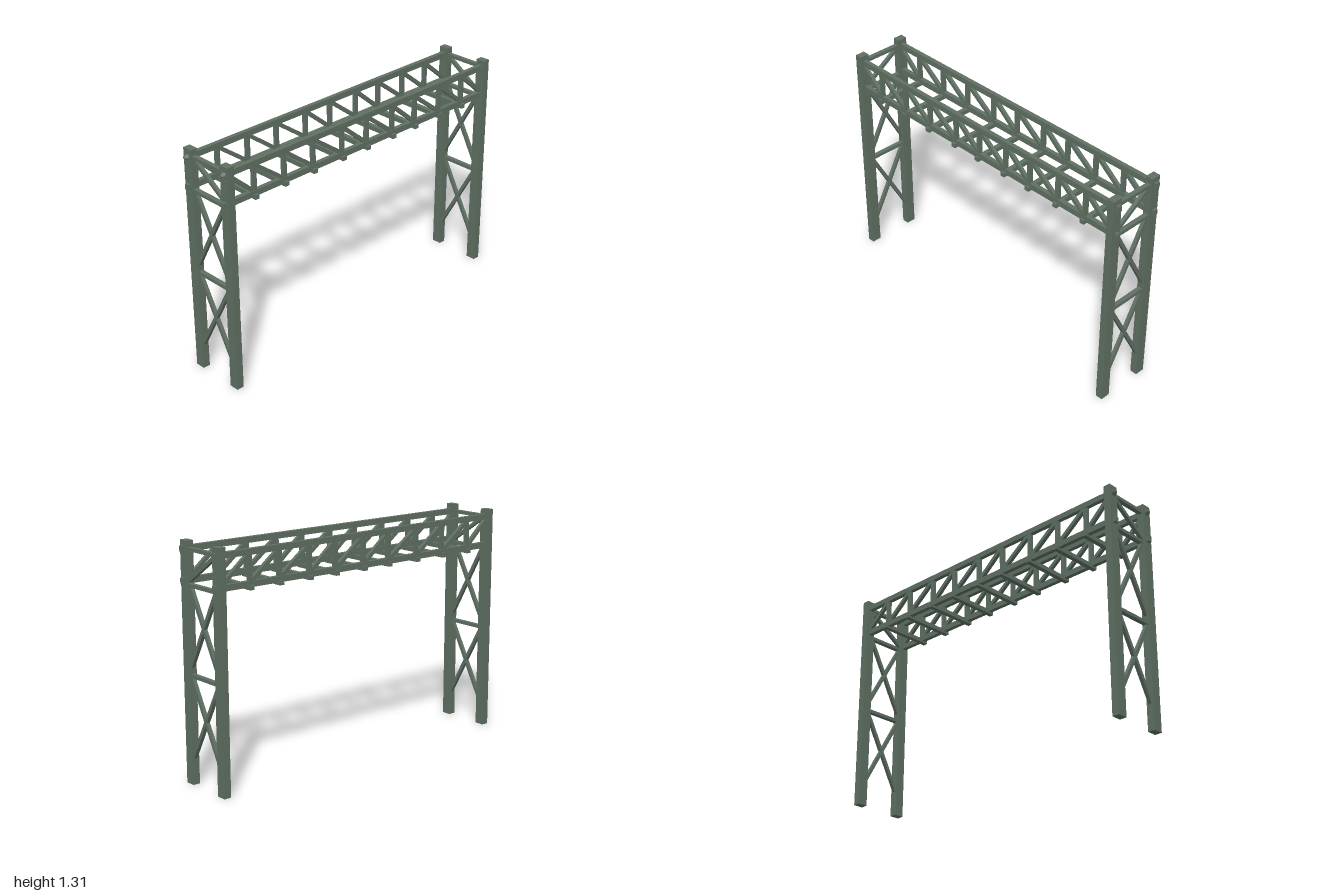
import * as THREE from 'three';

export function createModel() {
  const group = new THREE.Group();
  const steel = new THREE.MeshStandardMaterial({ color: 0x5f6f62 });
  steel.name = 'greenSteel';

  const box = (name, w, h, d, x, y, z) => {
    const m = new THREE.Mesh(new THREE.BoxGeometry(w, h, d), steel);
    m.name = name;
    m.position.set(x, y, z);
    group.add(m);
    return m;
  };

  // Straight bar between two points; thickness t in the frame plane, depth d across it
  const bar = (name, a, b, t, d) => {
    const A = new THREE.Vector3(...a), B = new THREE.Vector3(...b);
    const dir = B.clone().sub(A);
    const length = dir.length();
    dir.normalize();
    const across = Math.abs(dir.x) > 0.01 ? new THREE.Vector3(0, 0, 1) : new THREE.Vector3(1, 0, 0);
    const side = new THREE.Vector3().crossVectors(dir, across);
    const m = new THREE.Mesh(new THREE.BoxGeometry(t, length, d), steel);
    m.name = name;
    m.quaternion.setFromRotationMatrix(new THREE.Matrix4().makeBasis(side, dir, across));
    m.position.copy(A).add(B).multiplyScalar(0.5);
    group.add(m);
  };

  const X = 0.14, END = 0.958, TOP = 1.266, LOW = 1.1;

  // Two end towers
  for (const z of [END, -END]) {
    for (const s of [-1, 1]) box('column', 0.057, 1.31, 0.042, s * X, 0.655, z);
    for (const y of [0.598, 1.078, TOP]) box('towerTie', 0.25, 0.019, 0.026, 0, y, z);
    for (const y of [0.37, 0.866]) {
      for (const s of [-1, 1]) {
        bar('crossBrace', [-0.12 * s, y - 0.22, z], [0.12 * s, y + 0.22, z], 0.02, 0.02);
      }
    }
    bar('portalBrace', [-0.13, 1.268, z], [0.13, 1.094, z], 0.02, 0.02);
  }

  // Long chords, passing through the columns
  for (const s of [-1, 1]) {
    box('topChord', 0.025, 0.032, 1.975, s * X, TOP, -0.0075);
    box('bottomChord', 0.025, 0.033, 1.99, s * X, LOW, 0);
    // Tapered chord tip
    const tip = new THREE.Mesh(
      new THREE.CylinderGeometry(0.008, 0.02, 0.02, 4).rotateY(Math.PI / 4).rotateX(Math.PI / 2), steel);
    tip.name = 'chordTip';
    tip.position.set(s * X, TOP, 0.99);
    group.add(tip);
  }

  // Truss panels: posts, floor ties and sloping web members
  const posts = [0.79, 0.588, 0.386, 0.176, -0.007, -0.205, -0.384, -0.583, -0.773];
  for (const z of posts) {
    box('floorTie', 0.33, 0.025, 0.027, 0, 1.083, z);
    for (const s of [-1, 1]) box('post', 0.022, 0.175, 0.022, s * X, 1.182, z);
  }
  const nodes = [END, ...posts, -END];
  for (let i = 0; i < nodes.length - 1; i++) {
    for (const s of [-1, 1]) {
      bar('webDiagonal', [s * X, 1.258, nodes[i]], [s * X, 1.106, nodes[i + 1]], 0.022, 0.02);
    }
  }
  return group;
}
